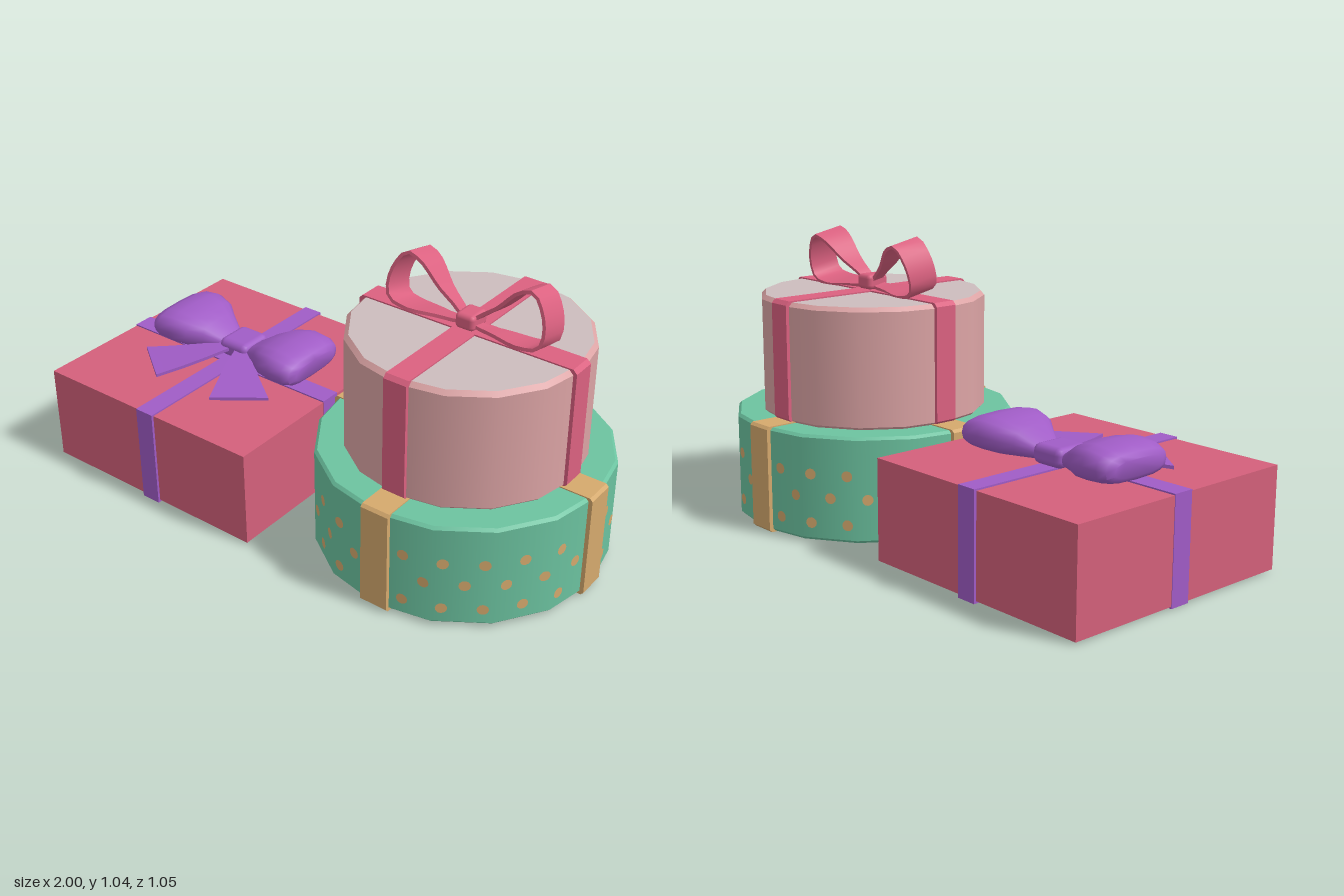
import * as THREE from 'three';
import { toCreasedNormals } from 'three/addons/utils/BufferGeometryUtils.js';
import { RoundedBoxGeometry } from 'three/addons/geometries/RoundedBoxGeometry.js';

const mat = (name, color) => {
  const m = new THREE.MeshStandardMaterial({ color });
  m.name = name;
  return m;
};

function add(parent, name, geo, material, x = 0, y = 0, z = 0) {
  const m = new THREE.Mesh(geo, material);
  m.name = name;
  m.position.set(x, y, z);
  parent.add(m);
  return m;
}

// Skin over rings of [x, y, z]; side -1 mirrors it in x; closed joins the last ring to the first
function loft(rings, { side = 1, closed = false, crease = 0.7 } = {}) {
  if (side < 0) rings = rings.map(r => r.map(([x, y, z]) => [-x, y, z]).reverse());
  const n = rings[0].length, count = rings.length, pos = [];
  for (let i = 0; i < (closed ? count : count - 1); i++) {
    const p = rings[i], q = rings[(i + 1) % count];
    for (let j = 0; j < n; j++) {
      const k = (j + 1) % n;
      pos.push(...p[j], ...p[k], ...q[j], ...p[k], ...q[k], ...q[j]);
    }
  }
  if (!closed) {
    const first = rings[0], last = rings[count - 1];
    for (let j = 1; j < n - 1; j++) {
      pos.push(...first[0], ...first[j + 1], ...first[j], ...last[0], ...last[j], ...last[j + 1]);
    }
  }
  const g = new THREE.BufferGeometry();
  g.setAttribute('position', new THREE.Float32BufferAttribute(pos, 3));
  return toCreasedNormals(g, crease);
}

// Ribbon band wrapping a box: chamfered side profile extruded across its width
function band(half, y0, y1, width, c) {
  const s = new THREE.Shape([
    [-half + c, y0], [half - c, y0], [half, y0 + c], [half, y1 - c],
    [half - c, y1], [-half + c, y1], [-half, y1 - c], [-half, y0 + c],
  ].map(p => new THREE.Vector2(...p)));
  return new THREE.ExtrudeGeometry(s, { depth: width, bevelEnabled: false }).translate(0, 0, -width / 2);
}

// Sixteen-sided round box with small bevels at top and bottom
function roundBox(parent, name, r, y0, y1, bevel, side, lid) {
  const wall = y1 - y0 - 2 * bevel;
  add(parent, name + 'Wall', new THREE.CylinderGeometry(r, r, wall, 16, 1, true), side, 0, (y0 + y1) / 2);
  add(parent, name + 'TopBevel', new THREE.CylinderGeometry(r - bevel, r, bevel, 16, 1, true), side, 0, y1 - bevel / 2);
  add(parent, name + 'BottomBevel', new THREE.CylinderGeometry(r, r - bevel, bevel, 16, 1, true), side, 0, y0 + bevel / 2);
  // start angle keeps the cap corners on the wall corners
  add(parent, name + 'Lid', new THREE.CircleGeometry(r - bevel, 16).rotateX(-Math.PI / 2), lid, 0, y1);
  add(parent, name + 'Base', new THREE.CircleGeometry(r - bevel, 16).rotateX(Math.PI / 2), side, 0, y0);
}

export function createModel() {
  const root = new THREE.Group();
  root.name = 'giftBoxes';
  const red = mat('raspberry', 0xd4607b);
  const purple = mat('purple', 0xa05cc6);
  const green = mat('seaGreen', 0x6cc3a0);
  const tan = mat('tan', 0xd5a96d);
  const pink = mat('dustyPink', 0xdca4a5);
  const pale = mat('palePink', 0xcdbcbe);
  const ribbonRed = mat('ribbonRed', 0xdb6180);

  // Square box with crossed ribbons
  const square = new THREE.Group();
  square.name = 'squareGift';
  root.add(square);
  add(square, 'squareBox', new THREE.BoxGeometry(0.928, 0.361, 0.934), red, -0.534, 0.1885, 0.045);
  add(square, 'ribbonAcross', new THREE.BoxGeometry(0.932, 0.373, 0.078), purple, -0.534, 0.1875, 0.04);
  add(square, 'ribbonAlong', new THREE.BoxGeometry(0.075, 0.375, 0.952), purple, -0.526, 0.1875, 0.045);

  // Puffy bow
  const bow = new THREE.Group();
  bow.name = 'puffyBow';
  bow.position.set(-0.526, 0.374, -0.018);
  square.add(bow);
  add(bow, 'puffyKnot', new RoundedBoxGeometry(0.132, 0.07, 0.142, 2, 0.025), purple, 0, 0.034, 0);
  // lobe stations: x, bottom, top, half depth
  const lobe = [
    [0.05, 0.006, 0.05, 0.05], [0.08, 0.004, 0.068, 0.068], [0.125, 0.002, 0.098, 0.095],
    [0.175, 0.002, 0.12, 0.134], [0.24, 0.005, 0.132, 0.153], [0.3, 0.01, 0.122, 0.153],
    [0.33, 0.018, 0.108, 0.14], [0.343, 0.034, 0.09, 0.11],
  ];
  const round = (v, p) => Math.sign(v) * Math.abs(v) ** p;
  const lobeRings = lobe.map(([x, lo, hi, d]) => Array.from({ length: 16 }, (_, j) => {
    const a = j / 16 * Math.PI * 2;
    return [x, (lo + hi) / 2 + (hi - lo) / 2 * round(Math.cos(a), 0.75), d * round(Math.sin(a), 0.6)];
  }));
  // tail stations: outer corner x, z, inner corner x, z, height
  const tail = [
    [0.06, 0.045, 0.012, 0.065, 0.035], [0.135, 0.102, 0.045, 0.155, 0.026],
    [0.22, 0.16, 0.088, 0.25, 0.014], [0.3, 0.215, 0.13, 0.34, 0.006],
  ];
  const tailRings = tail.map(([ax, az, bx, bz, y]) =>
    [[bx, y + 0.008, bz], [bx, y - 0.004, bz], [ax, y - 0.004, az], [ax, y + 0.008, az]]);
  for (const side of [1, -1]) {
    const label = side > 0 ? 'left' : 'right';
    add(bow, label + 'PuffyLoop', loft(lobeRings, { side, crease: 0.9 }), purple);
    add(bow, label + 'Tail', loft(tailRings, { side }), purple);
  }

  // Stacked round boxes
  const stack = new THREE.Group();
  stack.name = 'roundGifts';
  stack.position.set(0.478, 0, -0.007);
  root.add(stack);
  const R = 0.517;
  roundBox(stack, 'lowerBox', R, 0.008, 0.391, 0.01, green, green);
  roundBox(stack, 'upperBox', 0.416, 0.385, 0.826, 0.015, pink, pale);
  for (const turn of [0, Math.PI / 2]) {
    add(stack, 'lowerRibbon', band(R + 0.004, 0.004, 0.395, 0.106, 0.01), tan).rotation.y = turn;
    add(stack, 'upperRibbon', band(0.42, 0.39, 0.831, 0.087, 0.014), ribbonRed).rotation.y = turn;
  }

  // Three staggered rows of dots, each flat on its wall facet
  const step = Math.PI / 8, apothem = R * Math.cos(step / 2);
  const dotGeo = new THREE.CircleGeometry(0.02, 12);
  [[0.073, 11.2], [0.167, 4.3], [0.251, 11.2]].forEach(([y, phase]) => {
    for (let k = 0; k < 24; k++) {
      const a = THREE.MathUtils.degToRad(phase + 15 * k);
      const toRibbon = Math.abs(a - Math.round(a / (Math.PI / 2)) * Math.PI / 2);
      if (toRibbon < 0.1) continue;
      const facet = (Math.floor(a / step) + 0.5) * step;
      const r = (apothem + 0.0025) / Math.cos(a - facet);
      add(stack, 'dot', dotGeo, tan, r * Math.sin(a), y, r * Math.cos(a)).rotation.y = facet;
    }
  });

  // Looped bow, leaning slightly back
  const loops = new THREE.Group();
  loops.name = 'loopedBow';
  loops.position.set(0, 0.845, 0.005);
  stack.add(loops);
  add(loops, 'loopedKnot', new RoundedBoxGeometry(0.074, 0.056, 0.09, 2, 0.016), ribbonRed, 0, 0.014, -0.005);
  const path = new THREE.CatmullRomCurve3([
    [0.02, 0.004], [0.13, -0.004], [0.225, -0.005], [0.285, 0.012], [0.298, 0.06], [0.28, 0.13],
    [0.238, 0.182], [0.185, 0.165], [0.11, 0.09], [0.03, 0.026],
  ].map(([x, y]) => new THREE.Vector3(x, y, 0)), true);
  const rings = Array.from({ length: 24 }, (_, i) => {
    const p = path.getPointAt(i / 24), t = path.getTangentAt(i / 24);
    const w = 0.024 + 0.036 * THREE.MathUtils.smoothstep(p.x, 0.03, 0.22);
    return [[1, 1], [-1, 1], [-1, -1], [1, -1]].map(([u, v]) =>
      [p.x + u * t.y * 0.006, p.y - u * t.x * 0.006, -v * w]);
  });
  for (const side of [1, -1]) {
    const name = side > 0 ? 'leftRibbonLoop' : 'rightRibbonLoop';
    add(loops, name, loft(rings, { side, closed: true }), ribbonRed).rotation.x = -0.2;
  }
  return root;
}
